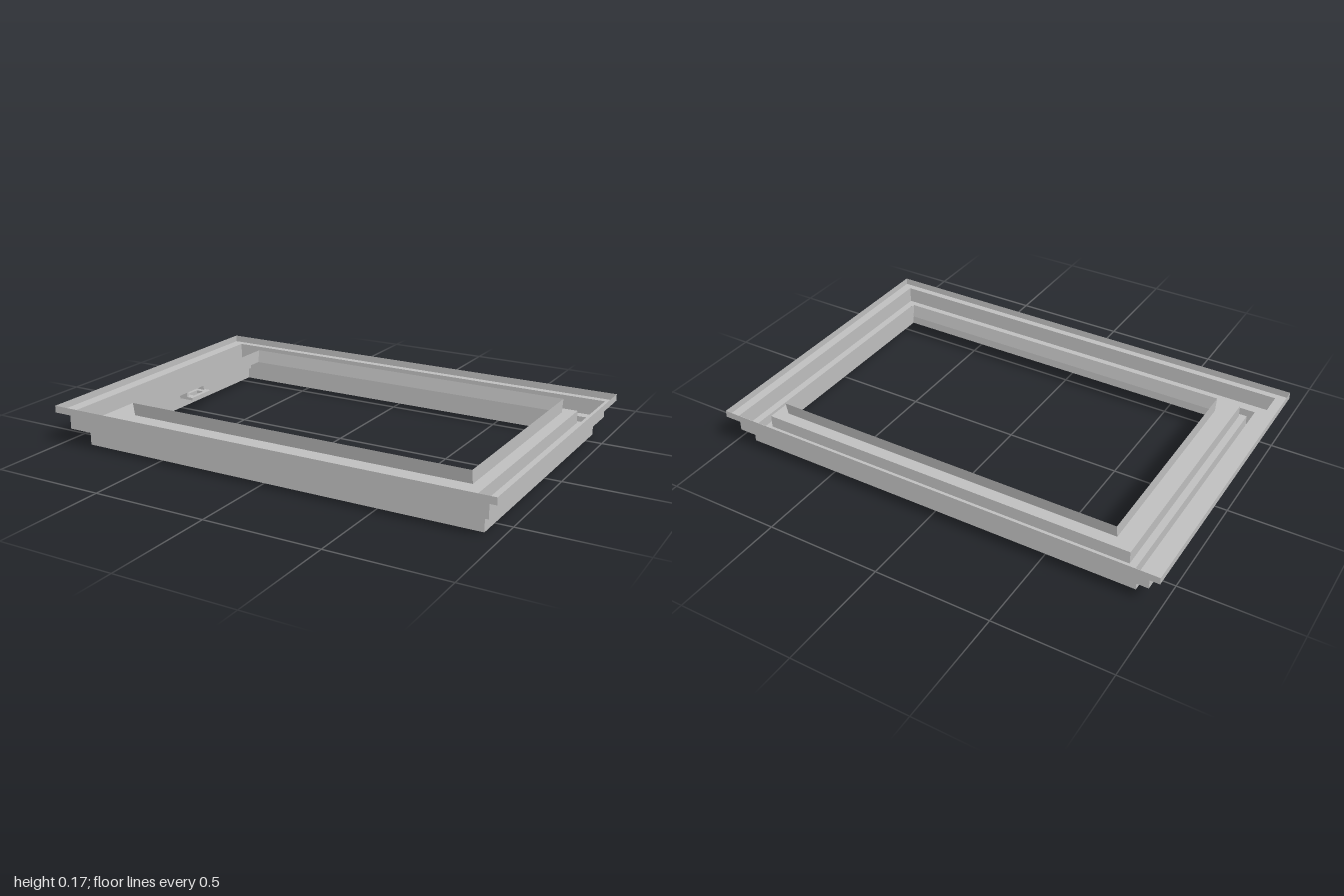
import * as THREE from 'three';

const metal = new THREE.MeshStandardMaterial({ color: 0xc0c0c0, side: THREE.DoubleSide });
metal.name = 'light grey metal';

// Rectangles followed by the folded sheet: [xMin, xMax, zMin, zMax]
const RIM = [-1, 1, -0.667, 0.667];
const MIDDLE = [-0.947, 0.96, -0.635, 0.638];
const BASE = [-0.88, 0.928, -0.592, 0.595];
const FOOT = [-0.855, 0.9, -0.56, 0.567];
const STEP = [-0.825, 0.872, -0.538, 0.55];
const LIP_FOOT = [-0.745, 0.82, -0.485, 0.46];
const LIP_TOP = [-0.745, 0.82, -0.495, 0.47];

// Four-sided band of sheet between two rectangles, with mitred corners
function band([ra, ya], [rb, yb]) {
  const corners = ([x0, x1, z0, z1], y) => [[x0, y, z1], [x1, y, z1], [x1, y, z0], [x0, y, z0]];
  const a = corners(ra, ya), b = corners(rb, yb);
  const pos = [];
  for (let i = 0; i < 4; i++) {
    const j = (i + 1) % 4;
    pos.push(...b[i], ...b[j], ...a[j], ...b[i], ...a[j], ...a[i]);
  }
  const g = new THREE.BufferGeometry();
  g.setAttribute('position', new THREE.Float32BufferAttribute(pos, 3));
  g.computeVertexNormals();
  return g;
}

export function createModel() {
  const model = new THREE.Group();
  model.name = 'windowFrame';
  const add = (name, geometry, parent = model) => {
    const mesh = new THREE.Mesh(geometry, metal);
    mesh.name = name;
    parent.add(mesh);
    return mesh;
  };

  // Folded profile from the outer rim, down to the foot and up to the inner lip
  const profile = [
    [RIM, 0.175], [RIM, 0.145], [MIDDLE, 0.145], [MIDDLE, 0.073], [BASE, 0.073], [BASE, 0],
    [FOOT, 0], [FOOT, 0.06], [STEP, 0.06], [STEP, 0.115], [LIP_FOOT, 0.115], [LIP_TOP, 0.173],
  ];
  const names = ['outerRim', 'rimLedge', 'middleWall', 'middleLedge', 'baseWall', 'foot',
    'innerWall', 'innerLedge', 'upperInnerWall', 'channelFloor', 'innerLip'];
  names.forEach((name, i) => add(name, band(profile[i], profile[i + 1])));

  // Small latch bracket hanging under the channel floor
  const latch = new THREE.Group();
  latch.name = 'latch';
  latch.position.set(-0.785, 0, -0.02);
  model.add(latch);
  const plate = new THREE.Shape([[-0.035, -0.07], [0.035, -0.07], [0.035, 0.07], [-0.035, 0.07]]
    .map(([x, y]) => new THREE.Vector2(x, y)));
  plate.holes.push(new THREE.Path([[-0.018, -0.035], [-0.018, 0.035], [0.018, 0.035], [0.018, -0.035]]
    .map(([x, y]) => new THREE.Vector2(x, y))));
  const plateGeometry = new THREE.ExtrudeGeometry(plate, { depth: 0.012, bevelEnabled: false });
  plateGeometry.rotateX(-Math.PI / 2).translate(0, 0.065, 0);
  add('latchPlate', plateGeometry, latch);
  for (const side of [-1, 1]) {
    const leg = add('latchLeg', new THREE.BoxGeometry(0.04, 0.05, 0.012), latch);
    leg.position.set(-0.015, 0.09, side * 0.064);
  }
  return model;
}
